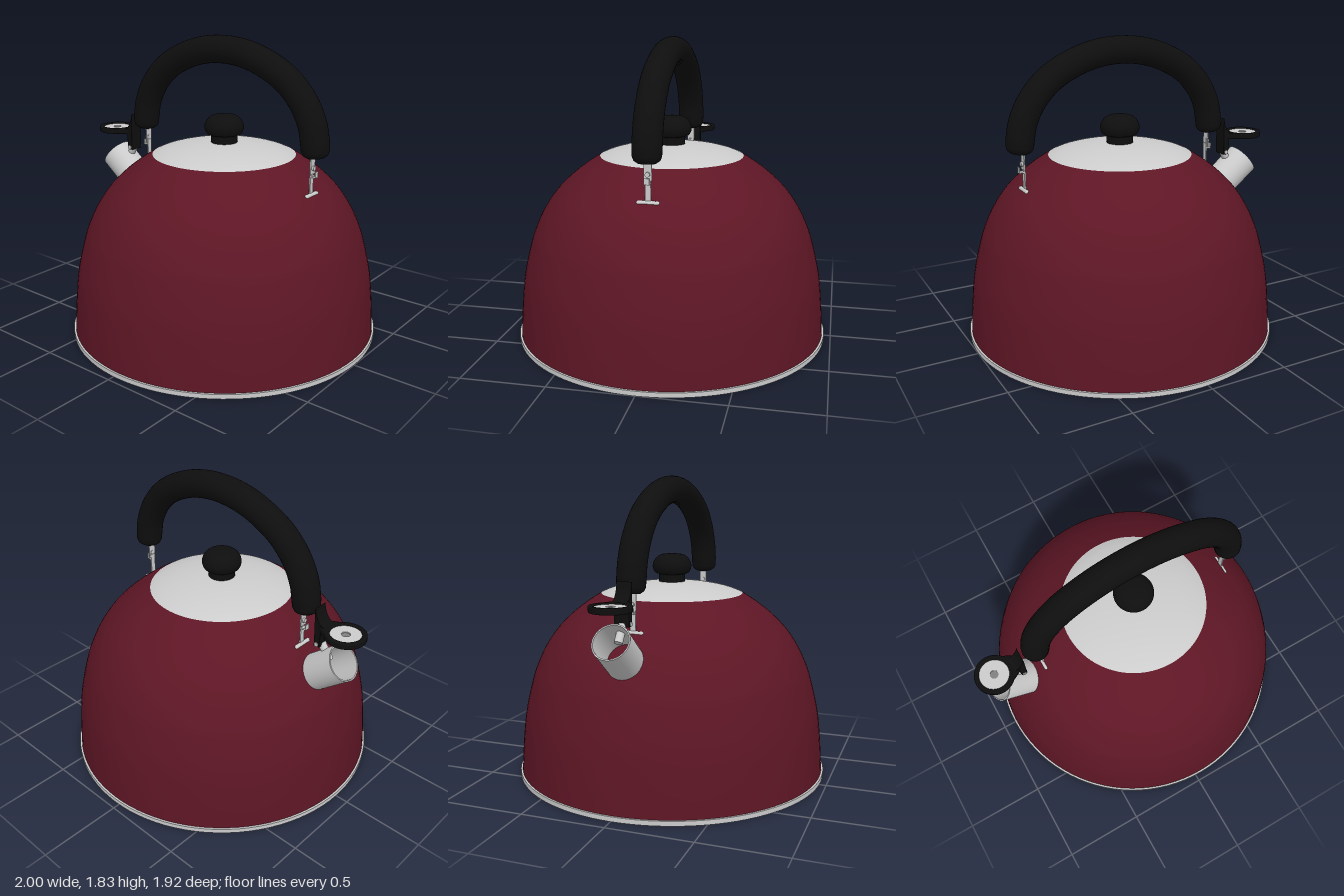
import * as THREE from 'three';

const CX = 0.04; // axis of the body
const grey = new THREE.MeshStandardMaterial({ color: 0xcccccc });
const greyThin = new THREE.MeshStandardMaterial({ color: 0xcccccc, side: THREE.DoubleSide });
const red = new THREE.MeshStandardMaterial({ color: 0x5e1625, side: THREE.DoubleSide });
const black = new THREE.MeshStandardMaterial({ color: 0x0e0e0e });

const v2 = (p) => new THREE.Vector2(p[0], p[1]);
const v3 = (x, y, z = 0) => new THREE.Vector3(x, y, z);
const smooth = (pts, n) => new THREE.SplineCurve(pts.map(v2)).getPoints(n);

function add(parent, name, geometry, material, x = 0, y = 0, z = 0) {
  const mesh = new THREE.Mesh(geometry, material);
  mesh.name = name;
  mesh.position.set(x, y, z);
  parent.add(mesh);
  return mesh;
}

// Lathe around the body axis; several segments keep the edges between them sharp
function turned(parent, name, segments, material, sides = 96) {
  const group = new THREE.Group();
  group.name = name;
  segments.forEach((s) => add(group, name + 'Surface', new THREE.LatheGeometry(s, sides), material));
  parent.add(group);
  return group;
}

function extrude(shape, depth, bevel = 0) {
  const geo = new THREE.ExtrudeGeometry(shape, {
    depth: depth - 2 * bevel, bevelEnabled: bevel > 0, bevelSize: bevel, bevelThickness: bevel,
    bevelOffset: -bevel, bevelSegments: 3, curveSegments: 32,
  });
  return geo.translate(0, 0, -(depth - 2 * bevel) / 2);
}

function rod(parent, name, a, b, radius, material) {
  const mesh = add(parent, name, new THREE.CylinderGeometry(radius, radius, a.distanceTo(b), 20), material);
  mesh.position.copy(a).lerp(b, 0.5);
  mesh.quaternion.setFromUnitVectors(v3(0, 1), b.clone().sub(a).normalize());
  return mesh;
}

function makeHandle() {
  const R = 0.083;
  const half = [[0.645, 1.27], [0.625, 1.37], [0.565, 1.49], [0.455, 1.605], [0.3, 1.69], [0.15, 1.735]];
  const points = [
    ...half.map(([x, y]) => v3(-x, y)), v3(0, 1.749),
    ...half.slice().reverse().map(([x, y]) => v3(x, y)),
  ];
  const handle = new THREE.Group();
  handle.name = 'handle';
  add(handle, 'grip', new THREE.TubeGeometry(new THREE.CatmullRomCurve3(points), 80, R, 32), black);
  // Rounded lower ends of the grip
  const cap = [[0, -0.08], [0.05, -0.077], [0.072, -0.062], [0.081, -0.04], [R, 0.012]].map(v2);
  for (const s of [-1, 1]) {
    const end = add(handle, 'gripEnd', new THREE.LatheGeometry(cap, 32), black, s * 0.645, 1.27);
    end.rotation.z = s * 0.08;
  }
  return handle;
}

// Bracket on the +x side, holding the grip to the body
function makeBracket() {
  const bracket = new THREE.Group();
  bracket.name = 'handleBracket';
  add(bracket, 'strap', new THREE.BoxGeometry(0.008, 0.15, 0.046), grey, 0.632, 1.17);
  add(bracket, 'lowerStrap', new THREE.BoxGeometry(0.008, 0.15, 0.032), grey, 0.628, 1.04);
  add(bracket, 'catch', new THREE.BoxGeometry(0.036, 0.01, 0.03), grey, 0.645, 1.082);
  rod(bracket, 'pin', v3(0.625, 1.13), v3(0.648, 1.13), 0.014, grey);
  add(bracket, 'catchTab', new THREE.BoxGeometry(0.006, 0.035, 0.03), grey, 0.66, 1.095);
  // Crossbar lying against the wall
  const bar = add(bracket, 'crossbar', new THREE.CapsuleGeometry(0.013, 0.106, 6, 16), grey, 0.632, 0.97);
  bar.rotation.x = Math.PI / 2;
  return bracket;
}

function makeSpout() {
  const spout = new THREE.Group();
  spout.name = 'spout';
  // Hollow tube: outer wall, rim, inner wall
  const wall = [[[0.108, -0.36], [0.108, 0]], [[0.108, 0], [0.1, 0]], [[0.1, 0], [0.1, -0.36]]];
  const tube = turned(spout, 'spoutTube', wall.map((s) => s.map(v2)), greyThin, 48);
  tube.position.set(-0.887, 0.975, 0);
  tube.quaternion.setFromUnitVectors(v3(0, 1), v3(-0.785, 0.62).normalize());
  return spout;
}

function makeWhistle() {
  const whistle = new THREE.Group();
  whistle.name = 'whistleCap';
  // Flat ring with an arm that narrows towards the lever
  const outline = new THREE.Shape();
  outline.absarc(-0.883, 0, 0.117, 0.75, Math.PI * 2 - 0.75);
  outline.lineTo(-0.715, -0.035);
  outline.lineTo(-0.715, 0.035);
  outline.closePath();
  const opening = new THREE.Path();
  opening.absarc(-0.883, 0, 0.088, 0, Math.PI * 2, true);
  outline.holes.push(opening);
  const ring = add(whistle, 'capRing', extrude(outline, 0.036, 0.007), black, 0, 1.15);
  ring.rotation.x = -Math.PI / 2;
  // Metal disc with a central hole
  const plate = [[0.025, -0.008], [0.09, -0.008], [0.09, 0.01], [0.025, 0.01], [0.025, -0.008]];
  const segs = plate.slice(1).map((p, i) => [v2(plate[i]), v2(p)]);
  turned(whistle, 'capPlate', segs, greyThin, 48).position.set(-0.883, 1.15, 0);
  add(whistle, 'whistleCore', new THREE.CylinderGeometry(0.026, 0.026, 0.008, 24),
    new THREE.MeshStandardMaterial({ color: 0x808080 }), -0.883, 1.15);
  // Thumb lever
  const side = new THREE.Shape();
  side.moveTo(-0.742, 1.03);
  side.lineTo(-0.706, 1.03);
  side.lineTo(-0.704, 1.27);
  side.quadraticCurveTo(-0.718, 1.175, -0.775, 1.167);
  side.lineTo(-0.775, 1.133);
  side.lineTo(-0.748, 1.128);
  side.closePath();
  add(whistle, 'thumbLever', extrude(side, 0.09, 0.003), black);
  // Hinge between spout and lever
  rod(whistle, 'hingePost', v3(-0.79, 0.95), v3(-0.728, 1.04), 0.024, grey);
  rod(whistle, 'hingePin', v3(-0.724, 1.045, -0.05), v3(-0.724, 1.045, 0.05), 0.013, grey);
  return whistle;
}

export function createModel() {
  const model = new THREE.Group();
  model.name = 'kettle';
  const kettle = new THREE.Group();
  kettle.name = 'body';
  kettle.position.x = CX;
  model.add(kettle);

  // Base plate with a shallow stepped ring underneath
  turned(kettle, 'base', [
    [[0, 0.012], [0.67, 0.012]], [[0.67, 0.012], [0.69, 0.004]], [[0.69, 0.004], [0.93, 0.004]],
    [[0.93, 0.004], [0.94, 0]], [[0.94, 0], [0.96, 0]], [[0.96, 0], [0.96, 0.028]], [[0.96, 0.028], [0.93, 0.028]],
  ].map((s) => s.map(v2)), grey);

  // Domed wall
  turned(kettle, 'wall', [smooth([
    [0.948, 0.028], [0.937, 0.2], [0.914, 0.4], [0.866, 0.6], [0.83, 0.7], [0.78, 0.8],
    [0.71, 0.9], [0.62, 0.99], [0.53, 1.06], [0.438, 1.12],
  ], 48)], red);

  // Lid
  turned(kettle, 'lid', [
    [[0.43, 1.112], [0.441, 1.118]].map(v2),
    smooth([[0.441, 1.118], [0.38, 1.142], [0.28, 1.167], [0.15, 1.185], [0, 1.192]], 24),
  ], grey);

  // Knob
  turned(kettle, 'knob', [
    [[0.08, 1.17], [0.08, 1.235]].map(v2),
    smooth([[0.08, 1.235], [0.106, 1.245], [0.119, 1.275], [0.116, 1.305], [0.098, 1.335],
      [0.07, 1.353], [0.035, 1.358], [0, 1.359]], 32),
  ], black, 48);

  // Handle with mirrored brackets
  kettle.add(makeHandle());
  for (const turn of [0, Math.PI]) {
    const bracket = makeBracket();
    bracket.rotation.y = turn;
    kettle.add(bracket);
  }

  model.add(makeSpout(), makeWhistle());
  return model;
}
